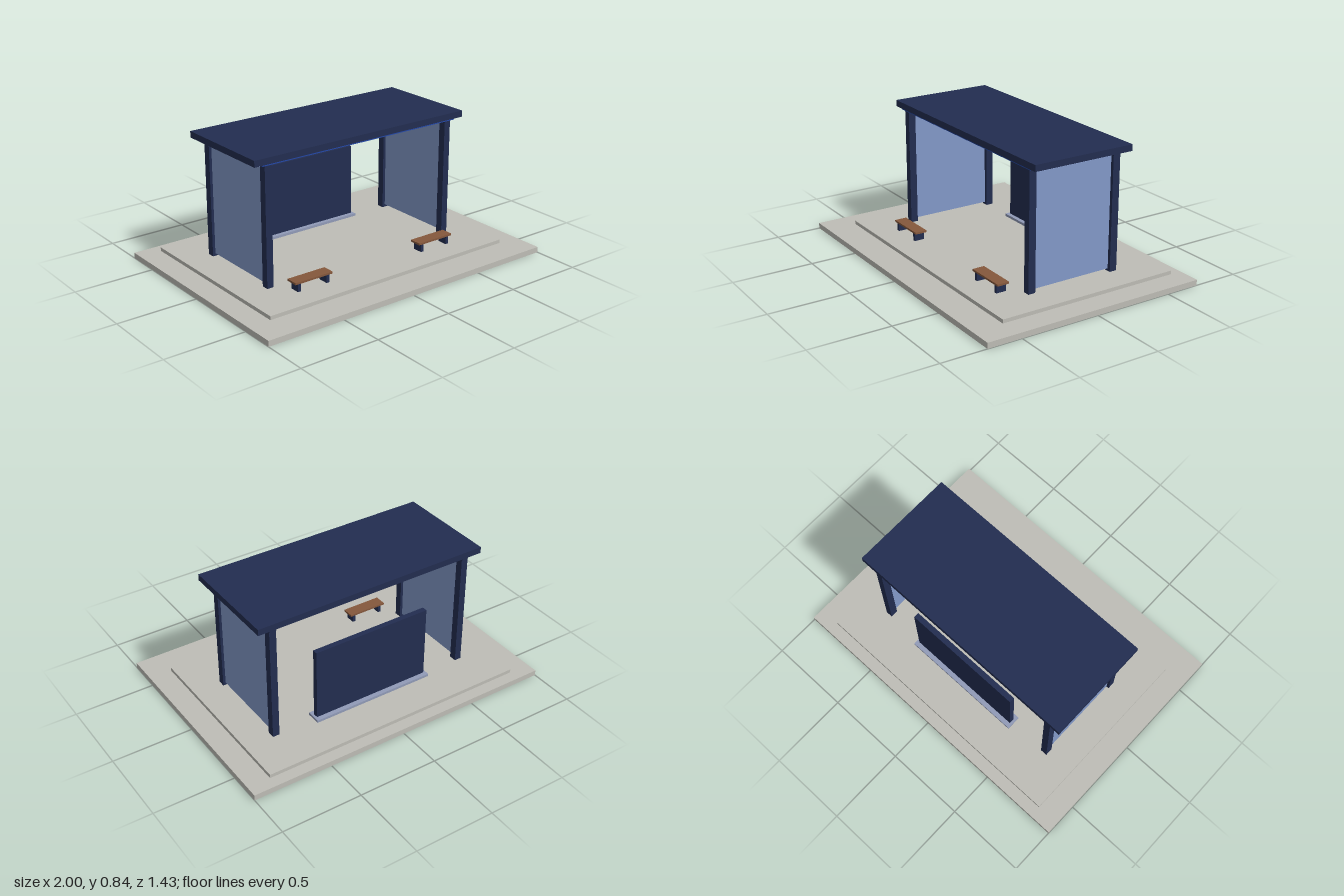
import * as THREE from 'three';

const mat = (name, color) => {
  const m = new THREE.MeshStandardMaterial({ color });
  m.name = name;
  return m;
};

export function createModel() {
  const model = new THREE.Group();
  model.name = 'shelter';

  const concrete = mat('concrete', 0xbebdb6);
  const navy = mat('navy', 0x222d50);
  const glass = mat('paleBlueGlass', 0x8399c8);
  const plinthGrey = mat('blueGrey', 0x919bb8);
  const wood = mat('wood', 0x85583c);
  const blue = mat('brightBlue', 0x2448a8);

  // Box given by its lower and upper limits on each axis
  const box = (name, material, [x0, x1], [y0, y1], [z0, z1], parent = model) => {
    const mesh = new THREE.Mesh(new THREE.BoxGeometry(x1 - x0, y1 - y0, z1 - z0), material);
    mesh.position.set((x0 + x1) / 2, (y0 + y1) / 2, (z0 + z1) / 2);
    mesh.name = name;
    parent.add(mesh);
    return mesh;
  };
  // Range on one side, mirrored for the other
  const side = (s, a, b) => (s > 0 ? [a, b] : [-b, -a]);

  // Stepped ground slabs
  box('lowerSlab', concrete, [-1, 1], [0, 0.035], [-0.715, 0.715]);
  box('upperSlab', concrete, [-0.858, 0.858], [0.035, 0.058], [-0.643, 0.527]);

  // Roof, ceiling and the light strip along its front edge
  box('roof', navy, [-0.757, 0.757], [0.803, 0.842], [-0.4, 0.257]);
  box('ceiling', navy, [-0.7, 0.7], [0.795, 0.803], [-0.385, 0.242]);
  box('lightStrip', blue, [-0.7, 0.7], [0.793, 0.803], [0.242, 0.248]);

  // Rear wall on its plinth
  box('wallPlinth', plinthGrey, [-0.4, 0.4], [0.058, 0.074], [-0.416, -0.326]);
  box('rearWall', navy, [-0.384, 0.384], [0.074, 0.53], [-0.387, -0.353]);

  for (const s of [1, -1]) {
    const name = s > 0 ? 'left' : 'right';

    // Side frame: posts, top beam and glazing
    const frame = new THREE.Group();
    frame.name = name + 'SideFrame';
    model.add(frame);
    const postX = side(s, 0.635, 0.678);
    box('frontPost', navy, postX, [0.058, 0.783], [0.192, 0.238], frame);
    box('rearPost', navy, postX, [0.058, 0.783], [-0.38, -0.333], frame);
    box('topBeam', navy, postX, [0.783, 0.795], [-0.385, 0.24], frame);
    box('glassPanel', glass, side(s, 0.649, 0.664), [0.077, 0.762], [-0.328, 0.188], frame);

    // Bench
    const bench = new THREE.Group();
    bench.name = name + 'Bench';
    model.add(bench);
    box('seat', wood, side(s, 0.327, 0.586), [0.108, 0.12], [0.305, 0.382], bench);
    for (const x of [0.357, 0.556])
      box('leg', navy, side(s, x - 0.01, x + 0.01), [0.058, 0.108], [0.312, 0.377], bench);
  }
  return model;
}
